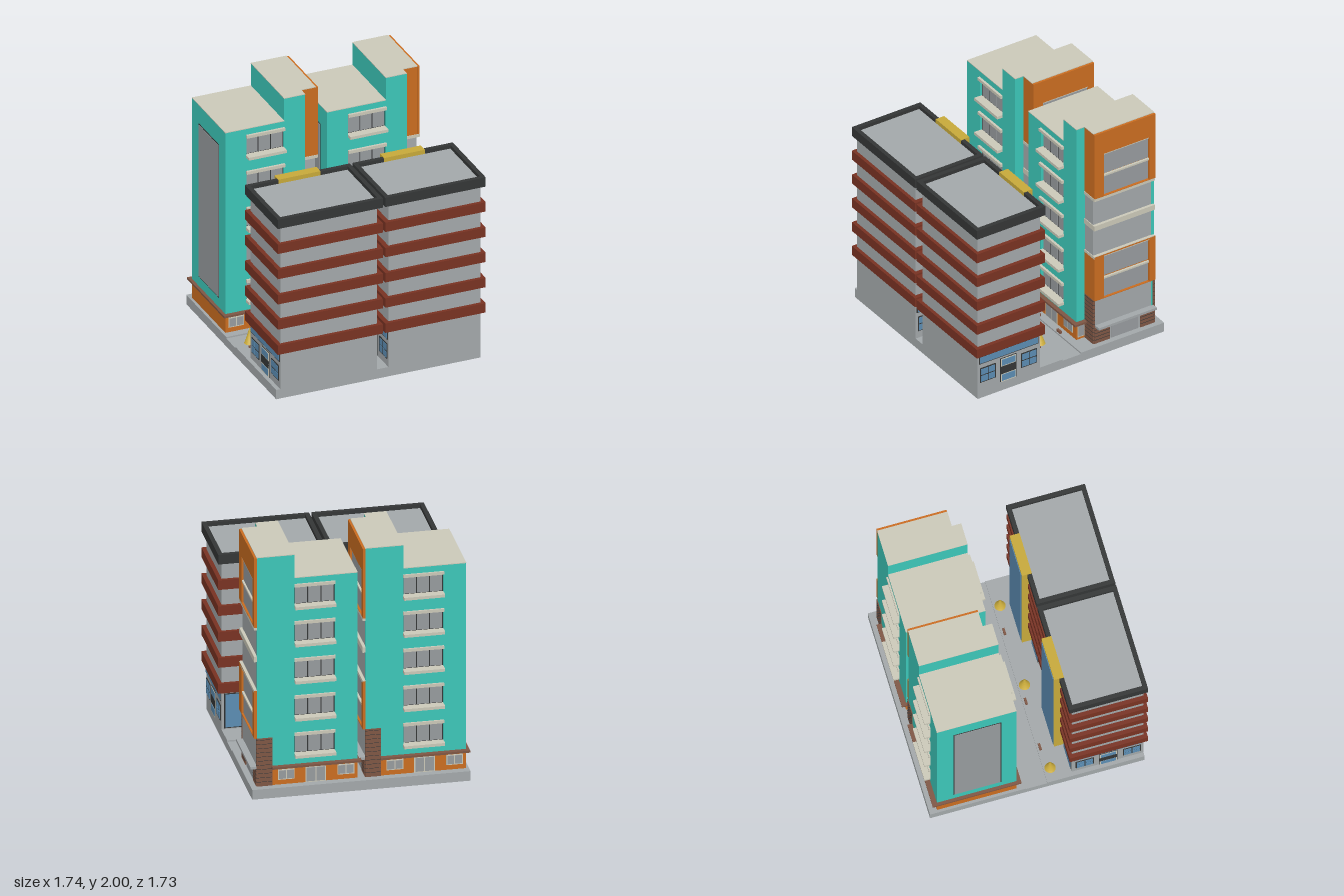
import * as THREE from 'three';

const mat = (name, color) => {
  const m = new THREE.MeshStandardMaterial({ color });
  m.name = name;
  return m;
};
const M = {
  teal: mat('teal plaster', 0x3cc6b8),
  orange: mat('orange cladding', 0xc96c20),
  maroon: mat('maroon band', 0x783222),
  dark: mat('charcoal', 0x343636),
  grey: mat('concrete grey', 0xa2a7a9),
  yellow: mat('mustard', 0xc6a83a),
  blue: mat('blue glass', 0x5b8cb2),
  cream: mat('cream trim', 0xcac8b8),
  brick: mat('brick brown', 0x7e5644),
  glass: mat('grey glass', 0x969a9d),
};

function add(parent, name, material, geometry) {
  const mesh = new THREE.Mesh(geometry, material);
  mesh.name = name;
  parent.add(mesh);
  return mesh;
}

// box given by its limits on each axis
function box(parent, name, material, x0, x1, y0, y1, z0, z1) {
  const g = new THREE.BoxGeometry(x1 - x0, y1 - y0, z1 - z0);
  g.translate((x0 + x1) / 2, (y0 + y1) / 2, (z0 + z1) / 2);
  return add(parent, name, material, g);
}

// upright wall in the xy plane with rectangular openings [u0, u1, y0, y1]
function wallGeometry(u0, u1, y0, y1, holes, depth) {
  const rect = (P, a, b, c, d) => {
    const p = new P();
    p.moveTo(a, c); p.lineTo(b, c); p.lineTo(b, d); p.lineTo(a, d); p.closePath();
    return p;
  };
  const shape = rect(THREE.Shape, u0, u1, y0, y1);
  holes.forEach(([a, b, c, d]) => shape.holes.push(rect(THREE.Path, a, b, c, d)));
  return new THREE.ExtrudeGeometry(shape, { depth, bevelEnabled: false });
}

// framed pane lying against a z face; dir is the way it looks
function paneZ(parent, name, frame, pane, x0, x1, y0, y1, z, dir, columns = 1) {
  const slab = (n, m, a, b, c, d, t) =>
    box(parent, n, m, a, b, c, d, Math.min(z, z + dir * t), Math.max(z, z + dir * t));
  slab(name + 'Frame', frame, x0, x1, y0, y1, 0.004);
  const gap = 0.008, w = (x1 - x0 - gap) / columns;
  for (let i = 0; i < columns; i++) {
    slab(name + 'Glass', pane, x0 + gap + i * w, x0 + (i + 1) * w, y0 + gap, y1 - gap, 0.007);
  }
}

function officeBlock(x0, x1, glassX0, glassX1, bandX0, bandX1) {
  const g = new THREE.Group();
  g.name = 'officeBlock';
  box(g, 'walls', M.grey, x0, x1, 0.08, 1.52, 0.27, 0.838);
  for (let i = 0; i < 5; i++) {
    const y = 0.395 + i * 0.2175;
    box(g, 'floorBand', M.maroon, bandX0, bandX1, y, y + 0.08, 0.243, 0.866);
  }
  // roof parapet, a hollow ring
  const ring = wallGeometry(bandX0, bandX1, -0.866, -0.24,
    [[bandX0 + 0.035, bandX1 - 0.035, -0.832, -0.274]], 0.08);
  ring.rotateX(-Math.PI / 2).translate(0, 1.48, 0);
  add(g, 'parapet', M.dark, ring);
  box(g, 'roof', M.grey, bandX0 + 0.03, bandX1 - 0.03, 1.5, 1.53, 0.27, 0.836);
  // stair shaft with tall glazing
  box(g, 'stairShaft', M.yellow, glassX0, glassX1, 0.08, 1.565, 0.197, 0.275);
  box(g, 'stairGlazing', M.blue, glassX0 + 0.02, glassX1 - 0.02, 0.09, 1.535, 0.192, 0.197);
  // rear shop glass either side of the shaft
  for (const [a, b] of [[x0 + 0.02, glassX0 - 0.02], [glassX1 + 0.02, x1 - 0.02]]) {
    paneZ(g, 'rearShop', M.dark, M.blue, a, b, 0.09, 0.38, 0.27, -1);
  }
  // shopfront on both ends
  for (const [x, dir] of [[x0, -1], [x1, 1]]) {
    const plate = (n, m, z0, z1, y0, y1, t) =>
      box(g, n, m, Math.min(x, x + dir * t), Math.max(x, x + dir * t), y0, y1, z0, z1);
    plate('signFrame', M.dark, 0.287, 0.828, 0.311, 0.379, 0.005);
    plate('signPanel', M.blue, 0.294, 0.821, 0.318, 0.372, 0.008);
    for (const z of [0.3, 0.675]) {
      plate('windowFrame', M.dark, z, z + 0.143, 0.142, 0.272, 0.005);
      for (const dz of [0.008, 0.076]) {
        plate('lowerPane', M.blue, z + dz, z + dz + 0.059, 0.15, 0.202, 0.008);
        plate('upperPane', M.blue, z + dz, z + dz + 0.059, 0.212, 0.264, 0.008);
      }
    }
    plate('doorFrame', M.dark, 0.485, 0.633, 0.08, 0.294, 0.003);
    plate('doorSurround', M.cream, 0.49, 0.628, 0.08, 0.289, 0.005);
    plate('doorRail', M.dark, 0.49, 0.628, 0.153, 0.22, 0.007);
    plate('doorLowerPane', M.blue, 0.499, 0.619, 0.09, 0.145, 0.008);
    plate('doorUpperPane', M.blue, 0.499, 0.619, 0.228, 0.281, 0.008);
  }
  return g;
}

function apartmentBlock() {
  const g = new THREE.Group();
  g.name = 'apartmentBlock';
  const B = -0.805, F = -0.175;
  const sills = [0, 1, 2, 3, 4].map(i => 0.325 + i * 0.3115);
  const holes = sills.map(y => [-0.67, -0.355, y, y + 0.16]);
  // main body with recessed windows front and back
  box(g, 'bodyCore', M.teal, -0.845, -0.18, 0.24, 1.8, B + 0.025, F - 0.025);
  add(g, 'frontFacade', M.teal, wallGeometry(-0.845, -0.18, 0.24, 1.8, holes, 0.025)).position.z = F - 0.025;
  add(g, 'backFacade', M.teal, wallGeometry(-0.845, -0.062, 0.24, 1.8, holes, 0.026)).position.z = B - 0.001;
  box(g, 'towerTop', M.teal, -0.355, -0.18, 1.8, 1.994, B - 0.001, F);
  box(g, 'towerBack', M.teal, -0.18, -0.062, 1.8, 1.994, B - 0.001, B + 0.025);
  box(g, 'lowRoof', M.cream, -0.846, -0.355, 1.8, 1.806, B - 0.002, F + 0.001);
  box(g, 'towerRoof', M.cream, -0.356, -0.18, 1.994, 2, B - 0.002, F + 0.001);
  box(g, 'columnRoof', M.cream, -0.18, -0.058, 1.994, 2, B - 0.002, -0.249);
  for (const y of sills) {
    for (const [z, dir, reach, hood] of [[F, 1, 0.05, 0.02], [B, -1, 0.05, 0.015]]) {
      const proj = (n, y0, y1, d) => box(g, n, M.cream, -0.672, -0.353, y0, y1,
        Math.min(z - dir * 0.02, z + dir * d), Math.max(z - dir * 0.02, z + dir * d));
      proj('windowSill', y - 0.02, y + 0.004, reach);
      proj('windowHood', y + 0.155, y + 0.18, hood);
      paneZ(g, 'window', M.dark, M.glass, -0.67, -0.355, y, y + 0.16, z - dir * 0.025, dir, 3);
    }
  }
  // tall panel on the left end
  box(g, 'endPanelFrame', M.dark, -0.848, -0.845, 0.325, 1.645, -0.675, -0.295);
  box(g, 'endPanel', M.glass, -0.851, -0.845, 0.333, 1.637, -0.668, -0.302);

  // side column: grey core, orange window bays
  box(g, 'columnCore', M.grey, -0.18, -0.064, 0.08, 1.42, -0.8, -0.252);
  for (const [y0, y1, panes] of [
    [0.48, 0.88, [[0.49, 0.655], [0.68, 0.86]]],
    [1.41, 1.994, [[1.42, 1.59], [1.61, 1.79]]],
  ]) {
    const top = panes[1][1] + 0.008;
    box(g, 'bayFront', M.orange, -0.18, -0.062, y0, y1, -0.262, -0.25);
    box(g, 'bayCore', M.orange, -0.18, -0.06, y0, y1, -0.78, -0.26);
    const frame = wallGeometry(0.25, 0.805, y0, y1, [[0.335, 0.75, y0 + 0.005, top]], 0.02);
    add(g, 'bayFrame', M.orange, frame.rotateY(Math.PI / 2).translate(-0.06, 0, 0));
    for (const [a, b] of panes) {
      box(g, 'bayGlass', M.glass, -0.062, -0.054, a, b, -0.748, -0.337);
      box(g, 'bayLedge', M.cream, -0.062, -0.042, b, b + 0.014, -0.75, -0.335);
    }
  }
  for (const [y0, y1] of [[0.862, 0.885], [1.12, 1.165], [1.387, 1.412]]) {
    box(g, 'columnLedge', M.cream, -0.18, -0.04, y0, y1, -0.8, -0.246);
  }

  // ground floor
  box(g, 'groundFloor', M.orange, -0.845, -0.18, 0.08, 0.235, B, F);
  box(g, 'awning', M.brick, -0.87, -0.175, 0.225, 0.242, -0.845, -0.14);
  box(g, 'awningReturn', M.brick, -0.18, -0.145, 0.225, 0.242, -0.25, -0.14);
  for (const [z, dir] of [[F, 1], [B, -1]]) {
    for (const x of [-0.755, -0.29]) {
      paneZ(g, 'shopWindow', M.cream, M.glass, x - 0.065, x + 0.065, 0.12, 0.205, z, dir, 2);
    }
    paneZ(g, 'shopDoor', M.cream, M.glass, -0.6, -0.44, 0.08, 0.21, z, dir, 2);
  }
  box(g, 'returnWindowFrame', M.cream, -0.18, -0.176, 0.1, 0.212, -0.245, -0.187);
  box(g, 'returnWindow', M.glass, -0.18, -0.173, 0.108, 0.204, -0.239, -0.193);
  // brick piers on the column, with dark joints
  box(g, 'frontPier', M.brick, -0.18, -0.06, 0.08, 0.48, -0.265, -0.248);
  box(g, 'backPier', M.brick, -0.18, -0.058, 0.08, 0.48, -0.812, -0.795);
  for (let y = 0.115; y < 0.47; y += 0.035) {
    box(g, 'frontJoint', M.dark, -0.178, -0.059, y, y + 0.003, -0.264, -0.247);
    box(g, 'backJoint', M.dark, -0.178, -0.057, y, y + 0.003, -0.813, -0.796);
  }
  for (const [z0, z1] of [[-0.4, -0.262], [-0.8, -0.68]]) {
    box(g, 'sidePier', M.brick, -0.07, -0.056, 0.08, 0.222, z0, z1);
    for (let y = 0.11; y < 0.21; y += 0.03) {
      box(g, 'sideJoint', M.dark, -0.07, -0.055, y, y + 0.004, z0, z1);
    }
  }
  box(g, 'entrance', M.glass, -0.064, -0.06, 0.08, 0.222, -0.66, -0.42);
  box(g, 'entranceCanopy', M.grey, -0.07, -0.012, 0.222, 0.242, -0.8, -0.27);
  return g;
}

function tree(x, z) {
  const g = new THREE.Group();
  g.name = 'tree';
  add(g, 'trunk', M.brick, new THREE.CylinderGeometry(0.008, 0.01, 0.05, 8)).position.y = 0.025;
  for (let i = 0; i < 5; i++) {
    const cone = new THREE.ConeGeometry(0.044 - i * 0.007, 0.045, 12);
    add(g, 'foliageTier', M.yellow, cone).position.y = 0.062 + i * 0.0215;
  }
  g.position.set(x, 0.08, z);
  return g;
}

export function createModel() {
  const model = new THREE.Group();
  model.name = 'cityBlock';

  // ground slab with the sunken street
  box(model, 'slab', M.grey, -0.867, 0.835, 0, 0.068, -0.867, 0.838);
  box(model, 'frontPavement', M.grey, -0.867, 0.835, 0.068, 0.08, 0.065, 0.838);
  box(model, 'rearPavement', M.grey, -0.867, 0.835, 0.068, 0.08, -0.867, -0.108);

  model.add(officeBlock(-0.833, -0.025, -0.6, -0.25, -0.866, 0.01));
  model.add(officeBlock(0.068, 0.835, 0.28, 0.62, 0.03, 0.867));

  for (const dx of [0, 0.847]) {
    const block = apartmentBlock();
    block.position.x = dx;
    model.add(block);
  }

  for (const [x, z] of [[-0.77, 0.115], [-0.07, 0.115], [0.6, 0.115], [-0.07, -0.135]]) {
    model.add(tree(x, z));
  }
  for (const [x, z] of [[-0.575, 0.09], [-0.19, 0.09], [0.4, 0.09], [-0.615, -0.125], [0.215, -0.125], [0.505, -0.125]]) {
    box(model, 'bench', M.brick, x - 0.026, x + 0.026, 0.08, 0.1, z - 0.009, z + 0.009);
  }
  return model;
}
